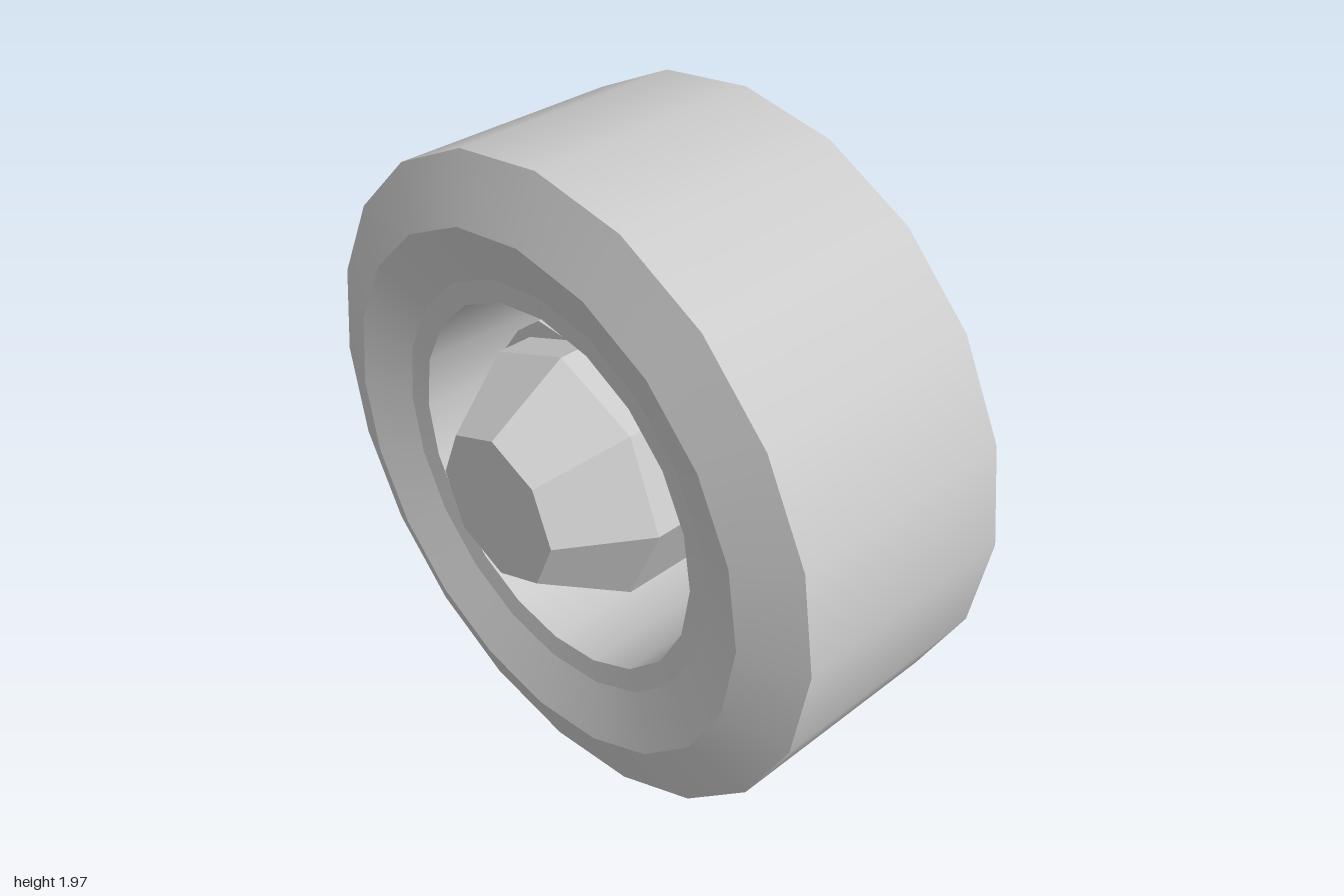
import * as THREE from 'three';

const smooth = new THREE.MeshStandardMaterial({ color: 0xcccccc, side: THREE.DoubleSide });
const faceted = new THREE.MeshStandardMaterial({ color: 0xcccccc, flatShading: true, side: THREE.DoubleSide });

// One band per profile step [radius, z]: smooth around the axis, sharp between bands
function turned(name, profile, sides, material) {
  const group = new THREE.Group();
  group.name = name;
  for (let i = 0; i < profile.length - 1; i++) {
    const points = [profile[i], profile[i + 1]].map(([r, z]) => new THREE.Vector2(r, z));
    const band = new THREE.Mesh(new THREE.LatheGeometry(points, sides).rotateX(Math.PI / 2), material);
    band.name = name + 'Band';
    group.add(band);
  }
  return group;
}

// Points of a regular pentagon, with flats facing the spokes
function pentagon(radius, turn) {
  return Array.from({ length: 5 }, (_, i) => {
    const a = turn + Math.PI / 5 + (i * 2 * Math.PI) / 5;
    return new THREE.Vector2(radius * Math.cos(a), radius * Math.sin(a));
  });
}

// Spoke along +x: a box whose cross-sections taper and bend down to the hub plate
function spokeGeometry() {
  const sections = [
    { r: 0.16, w: 0.235, back: -0.33, front: -0.25 },
    { r: 0.38, w: 0.22, back: -0.405, front: -0.29 },
    { r: 0.625, w: 0.18, back: -0.405, front: -0.31 },
  ];
  const geometry = new THREE.BoxGeometry(2, 1, 1, 2, 1, 1);
  const p = geometry.attributes.position;
  for (let i = 0; i < p.count; i++) {
    const s = sections[Math.round(p.getX(i)) + 1];
    p.setXYZ(i, s.r, p.getY(i) * s.w, p.getZ(i) > 0 ? s.front : s.back);
  }
  return geometry;
}

export function createModel() {
  const wheel = new THREE.Group();
  wheel.name = 'wheel';

  // Tyre with chamfered shoulders and dished side walls
  wheel.add(turned('tyre', [
    [0.70, -0.40], [0.865, -0.495], [0.987, -0.40], [0.987, 0.33], [0.80, 0.40], [0.635, 0.34],
  ], 20, smooth));

  // Rim: front ring, barrel and the wider back ring
  wheel.add(turned('rim', [
    [0.635, 0.34], [0.565, 0.33], [0.565, -0.25], [0.62, -0.30], [0.62, -0.40], [0.70, -0.40],
  ], 20, smooth));

  // Five spokes
  const firstAngle = THREE.MathUtils.degToRad(62.5);
  const spoke = spokeGeometry();
  for (let i = 0; i < 5; i++) {
    const mesh = new THREE.Mesh(spoke, faceted);
    mesh.name = 'spoke';
    mesh.rotation.z = firstAngle + (i * 2 * Math.PI) / 5;
    wheel.add(mesh);
  }

  // Hub plate with a pentagonal recess
  const plate = new THREE.Shape(pentagon(0.2, firstAngle));
  plate.holes.push(new THREE.Path(pentagon(0.06, firstAngle)));
  const hubPlate = new THREE.Mesh(
    new THREE.ExtrudeGeometry(plate, { depth: 0.08, bevelEnabled: false }), faceted);
  hubPlate.name = 'hubPlate';
  hubPlate.position.z = -0.33;
  wheel.add(hubPlate);

  // Axle closing the recess and joining hub plate to drum
  const axle = turned('axle', [[0, -0.29], [0.1, -0.29], [0.1, 0.02]], 8, faceted);
  wheel.add(axle);

  // Eight-sided brake drum, set slightly above the axis
  const drum = turned('brakeDrum', [
    [0, 0.0], [0.385, 0.0], [0.385, 0.27], [0.23, 0.515], [0, 0.515],
  ], 8, faceted);
  drum.position.y = 0.035;
  wheel.add(drum);

  // Caliper hugging the drum
  const arc = [];
  const caliperAngles = [105, 121, 137, 153];
  for (const a of caliperAngles) arc.push([a, a === 105 ? 0.39 : 0.445]);
  for (const a of [...caliperAngles].reverse()) arc.push([a, 0.3]);
  const caliperShape = new THREE.Shape(arc.map(([a, r]) => {
    const t = THREE.MathUtils.degToRad(a);
    return new THREE.Vector2(r * Math.cos(t), r * Math.sin(t));
  }));
  const caliper = new THREE.Mesh(
    new THREE.ExtrudeGeometry(caliperShape, { depth: 0.22, bevelEnabled: false }), faceted);
  caliper.name = 'caliper';
  caliper.position.z = -0.06;
  wheel.add(caliper);

  // Slight steering angle, standing on the ground
  wheel.rotation.y = -0.041;
  wheel.position.set(0, 0.987, -0.005);
  const model = new THREE.Group();
  model.name = 'wheelAssembly';
  model.add(wheel);
  return model;
}
